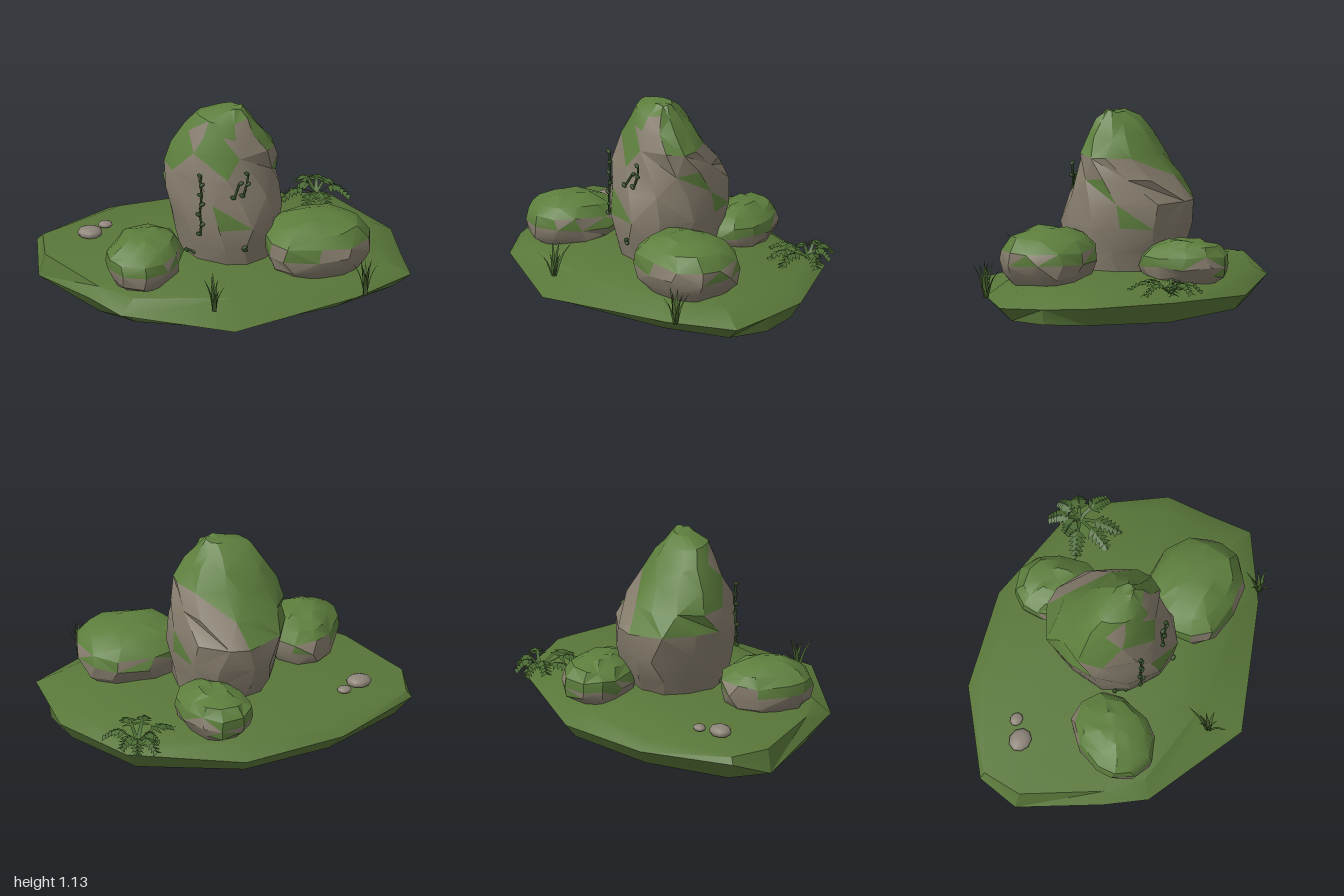
import * as THREE from 'three';
import { mergeGeometries, toCreasedNormals } from 'three/addons/utils/BufferGeometryUtils.js';

const paint = (name, color, side = THREE.FrontSide) =>
  Object.assign(new THREE.MeshStandardMaterial({ color, side }), { name });
const V = (x, y, z) => new THREE.Vector3(x, y, z);

function seeded(seed) {
  return () => {
    seed = (seed * 16807) % 2147483647;
    return seed / 2147483647;
  };
}

// Skin a stack of rings (bottom to top); isMoss(centre) picks the second material
function loft(rings, isMoss = () => false, crease = 0.5) {
  const n = rings[0].length;
  const faces = [[], []];
  const add = (a, b, c) => {
    const tri = new THREE.Triangle(a, b, c);
    if (tri.getArea() < 1e-7) return;
    const list = faces[isMoss(tri.getMidpoint(V(0, 0, 0))) ? 1 : 0];
    for (const p of [a, b, c]) list.push(p.x, p.y, p.z);
  };
  for (let r = 0; r < rings.length - 1; r++) {
    const lo = rings[r], up = rings[r + 1];
    for (let i = 0; i < n; i++) {
      const j = (i + 1) % n;
      if ((i + r) % 2) {
        add(lo[j], lo[i], up[i]);
        add(lo[j], up[i], up[j]);
      } else {
        add(lo[j], lo[i], up[j]);
        add(lo[i], up[i], up[j]);
      }
    }
  }
  const geo = new THREE.BufferGeometry();
  geo.setAttribute('position', new THREE.Float32BufferAttribute([...faces[0], ...faces[1]], 3));
  const split = faces[0].length / 3;
  geo.addGroup(0, split, 0);
  geo.addGroup(split, faces[1].length / 3, 1);
  return toCreasedNormals(geo, crease);
}

// Rows are [y, centreX, centreZ, radiusX, radiusZ, yaw]; a lower power makes a boxier plan
function rockRings(rows, sides, rand, power) {
  const bend = (v) => Math.sign(v) * Math.abs(v) ** power;
  const rings = rows.map(([y, cx, cz, rx, rz, yaw]) =>
    Array.from({ length: sides }, (_, i) => {
      const a = (i + (rand() - 0.5) * 0.4) / sides * Math.PI * 2;
      const k = 0.97 + rand() * 0.08;
      const x = bend(Math.cos(a)) * rx * k, z = bend(Math.sin(a)) * rz * k;
      return V(
        cx + x * Math.cos(yaw) + z * Math.sin(yaw),
        y + (rand() - 0.5) * 0.022,
        cz - x * Math.sin(yaw) + z * Math.cos(yaw));
    }));
  const pole = ([y, cx, cz]) => Array(sides).fill(V(cx, y, cz));
  return [pole(rows[0]), ...rings, pole(rows[rows.length - 1])];
}

// Tapering ribbon along a path, used for blades and leaflets
function ribbon(points, width) {
  const curve = new THREE.CatmullRomCurve3(points);
  const dir = points[points.length - 1].clone().sub(points[0]);
  const side = V(-dir.z, 0, dir.x).normalize();
  const steps = 5, pos = [], index = [];
  for (let i = 0; i <= steps; i++) {
    const t = i / steps, p = curve.getPoint(t);
    const w = width * 0.5 * Math.min(1, 1.3 * (1 - t) + 0.04);
    for (const s of [-w, w]) pos.push(p.x + side.x * s, p.y, p.z + side.z * s);
    if (i < steps) index.push(2 * i, 2 * i + 2, 2 * i + 1, 2 * i + 1, 2 * i + 2, 2 * i + 3);
  }
  const geo = new THREE.BufferGeometry();
  geo.setAttribute('position', new THREE.Float32BufferAttribute(pos, 3));
  geo.setIndex(index);
  geo.computeVertexNormals();
  return geo;
}

export function createModel() {
  const model = new THREE.Group();
  const stone = paint('stone', 0x847b6b);
  const moss = paint('moss', 0x5d7e3d);
  const turf = paint('turf', 0x587639);
  const pebbleGrey = paint('pebbleGrey', 0x8d8478);
  const grassGreen = paint('grassGreen', 0x48652f, THREE.DoubleSide);
  const fernGreen = paint('fernGreen', 0x486831, THREE.DoubleSide);
  const vineGreen = paint('vineGreen', 0x344f28);
  const add = (name, geo, mat) => {
    const mesh = new THREE.Mesh(geo, mat);
    mesh.name = name;
    model.add(mesh);
    return mesh;
  };

  // Ground slab: sharp uneven rim. Rows are [x, y, z, underside scale, shoulder scale]
  const rim = [
    [1, 0.16, 0.2, 0.9, 0.86], [0.68, 0.165, 0.45, 0.85, 0.85], [0, 0.16, 0.77, 0.76, 0.68],
    [-0.6, 0.165, 0.55, 0.85, 0.88], [-0.76, 0.18, 0.36, 0.92, 0.93], [-1, 0.105, -0.05, 0.9, 0.965],
    [-0.99, 0.2, -0.28, 0.9, 0.97], [-0.57, 0.19, -0.62, 0.88, 0.9], [-0.02, 0.16, -0.77, 0.92, 0.86],
    [0.62, 0.2, -0.67, 0.9, 0.92], [0.93, 0.18, -0.28, 0.93, 0.9], [0.962, 0.165, -0.04, 0.985, 0.88],
  ];
  const scaled = (s, y) => rim.map(([x, , z]) => V(x * s, y, z * s));
  add('ground', loft([
    scaled(0, 0), scaled(0.5, 0.035),
    rim.map(([x, , z, k]) => V(x * k, 0.08, z * k)),
    rim.map(([x, y, z]) => V(x, y, z)),
    rim.map(([x, , z, , k]) => V(x * k, 0.235, z * k)),
    scaled(0.48, 0.278), scaled(0, 0.29),
  ], undefined, 0.5), [turf, turf]);

  // Standing boulder, mossy on top and far down the back right
  const mainRand = seeded(41);
  const mainRows = [
    [0.24, 0.03, -0.04, 0.25, 0.27, 0.3], [0.38, 0.02, -0.06, 0.28, 0.32, 0.3],
    [0.52, 0.01, -0.07, 0.3, 0.36, 0.3], [0.66, -0.01, -0.08, 0.31, 0.345, 0.3],
    [0.78, -0.015, -0.055, 0.305, 0.275, 0], [0.9, 0, -0.03, 0.275, 0.205, -0.2],
    [1, 0, -0.02, 0.21, 0.16, -0.2], [1.08, 0, -0.01, 0.145, 0.115, -0.2],
    [1.122, 0.03, -0.01, 0.075, 0.05, -0.2],
  ];
  const near = (c, spots, r) => spots.some(([x, y, z]) => c.distanceTo(V(x, y, z)) < r);
  const patches = [[0.06, 0.68, 0.25], [-0.02, 0.57, 0.28], [0.3, 0.7, -0.07], [0.26, 0.57, -0.23]];
  const bare = [[-0.16, 1.0, 0.08], [0.13, 1.0, 0.1], [-0.1, 0.88, -0.23], [0.13, 0.93, 0.14]];
  const mainMoss = (c) => {
    if (near(c, patches, 0.05)) return true;
    if (near(c, bare, 0.065)) return false;
    const facing = Math.max(0, Math.cos(Math.atan2(c.z, c.x) + Math.PI * 0.76));
    return c.y > 0.9 - 0.3 * facing ** 2 + (mainRand() - 0.5) * 0.15;
  };
  const boulder = add('standingBoulder',
    loft(rockRings(mainRows, 12, mainRand, 1.04), mainMoss), [stone, moss]);

  // Low boulders: [name, x, z, radiusX, radiusZ, top, yaw, power, mossLine, seed]
  const profile = [[0, 0.72], [0.2, 0.92], [0.42, 1], [0.65, 0.95], [0.84, 0.74], [0.97, 0.38]];
  const lowBoulders = [
    ['leftBoulder', 0.495, 0.16, 0.295, 0.25, 0.54, 0.15, 0.8, 0.4, 7],
    ['rightBoulder', -0.45, 0.235, 0.195, 0.255, 0.5, -0.4, 0.87, 0.365, 19],
    ['backBoulder', 0.12, -0.475, 0.18, 0.245, 0.465, 0.45, 0.87, 0.33, 29],
  ];
  for (const [name, x, z, rx, rz, top, yaw, power, line, seed] of lowBoulders) {
    const rand = seeded(seed * 977);
    const base = 0.23;
    const rows = profile.map(([t, k]) => [base + t * (top - base), x, z, rx * k, rz * k, yaw]);
    add(name, loft(rockRings(rows, 11, rand, power),
      (c) => c.y > line + (rand() - 0.5) * 0.11), [stone, moss]);
  }

  // Pebbles
  for (const [x, z, r] of [[-0.71, -0.2, 0.07], [-0.62, -0.28, 0.04]]) {
    const geo = new THREE.SphereGeometry(r, 9, 6).scale(1, 0.45, 0.85);
    add('pebble', geo, pebbleGrey).position.set(x, 0.277, z);
  }

  // Grass tufts: long blades fanning outwards. [x, y, z, spreadX, spreadZ, height, seed]
  const tufts = [[-0.1, 0.215, 0.62, 0.065, 0.13, 0.19, 5], [0.735, 0.165, 0.42, 0.075, 0.09, 0.21, 11]];
  for (const [x, y, z, spreadX, spreadZ, height, seed] of tufts) {
    const rand = seeded(seed * 1013);
    const blades = Array.from({ length: 8 }, (_, i) => {
      const a = (i + rand() * 0.4) / 8 * Math.PI * 2;
      const lean = i % 2 ? 0.3 + rand() * 0.3 : 0.85 + rand() * 0.15;
      const h = height * (0.75 + rand() * 0.25);
      const dx = Math.cos(a) * spreadX * lean, dz = Math.sin(a) * spreadZ * lean;
      return ribbon([V(x + dx * 0.08, y, z + dz * 0.08),
        V(x + dx * 0.45, y + h * 0.62, z + dz * 0.45), V(x + dx, y + h, z + dz)], 0.022);
    });
    add('grassTuft', mergeGeometries(blades), grassGreen);
  }

  // Fern: arching fronds with broad paired leaflets
  const heart = V(0.55, 0.235, -0.61);
  const tips = [[0.33, -0.5], [0.47, -0.36], [0.6, -0.37], [0.73, -0.54],
    [0.65, -0.68], [0.57, -0.75], [0.46, -0.75], [0.44, -0.63]];
  const fernParts = [];
  for (const [x, z] of tips) {
    const tip = V(x, 0.245, z);
    const mid = heart.clone().lerp(tip, 0.55).setY(0.3);
    const stem = new THREE.CatmullRomCurve3([heart, mid, tip]);
    fernParts.push(ribbon([heart, mid, tip], 0.02));
    const out = tip.clone().sub(heart).setY(0).normalize();
    for (let i = 1; i <= 6; i++) {
      const t = 0.28 + i * 0.107, p = stem.getPoint(t), len = 0.056 * (1.15 - t * 0.65);
      for (const s of [-1, 1]) {
        const end = V(p.x + (out.x * 0.35 - out.z * s) * len, p.y - 0.018,
          p.z + (out.z * 0.35 + out.x * s) * len);
        fernParts.push(ribbon([p, p.clone().lerp(end, 0.5), end], 0.03));
      }
    }
  }
  add('fern', mergeGeometries(fernParts), fernGreen);

  // Vines hanging down the boulder's front: [x, bottom, top, drift, least z]
  boulder.updateMatrixWorld();
  const ray = new THREE.Raycaster();
  const onFront = (x, y, least) => {
    ray.set(V(x, y, 2), V(0, 0, -1));
    const hit = ray.intersectObject(boulder)[0];
    return V(x, y, Math.max(least, (hit ? hit.point.z : 0) + 0.006));
  };
  const vines = [[-0.145, 0.47, 0.83, 0.005, 0.215], [0.04, 0.7, 0.77, 0.025, 0.215],
    [0.09, 0.7, 0.83, 0.03, 0.215], [-0.2, 0.305, 0.32, 0.02, 0], [0.1, 0.39, 0.405, -0.02, 0]];
  for (const [x, bottom, top, drift, least] of vines) {
    const count = Math.max(1, Math.round((top - bottom) / 0.06));
    const path = Array.from({ length: count + 1 }, (_, i) => onFront(
      x + drift * i / count + Math.sin(i * 2.1) * 0.004, bottom + (top - bottom) * i / count, least));
    const parts = [new THREE.TubeGeometry(new THREE.CatmullRomCurve3(path), count * 3, 0.006, 5)];
    path.forEach((p, i) => {
      const s = i % 2 ? 1 : -1;
      const leaf = new THREE.SphereGeometry(0.018, 6, 4).scale(1, 0.6, 0.7);
      parts.push(leaf.rotateZ(s * 0.5).translate(p.x + s * 0.008, p.y, p.z + 0.003));
    });
    add('vine', mergeGeometries(parts), vineGreen);
  }

  return model;
}
